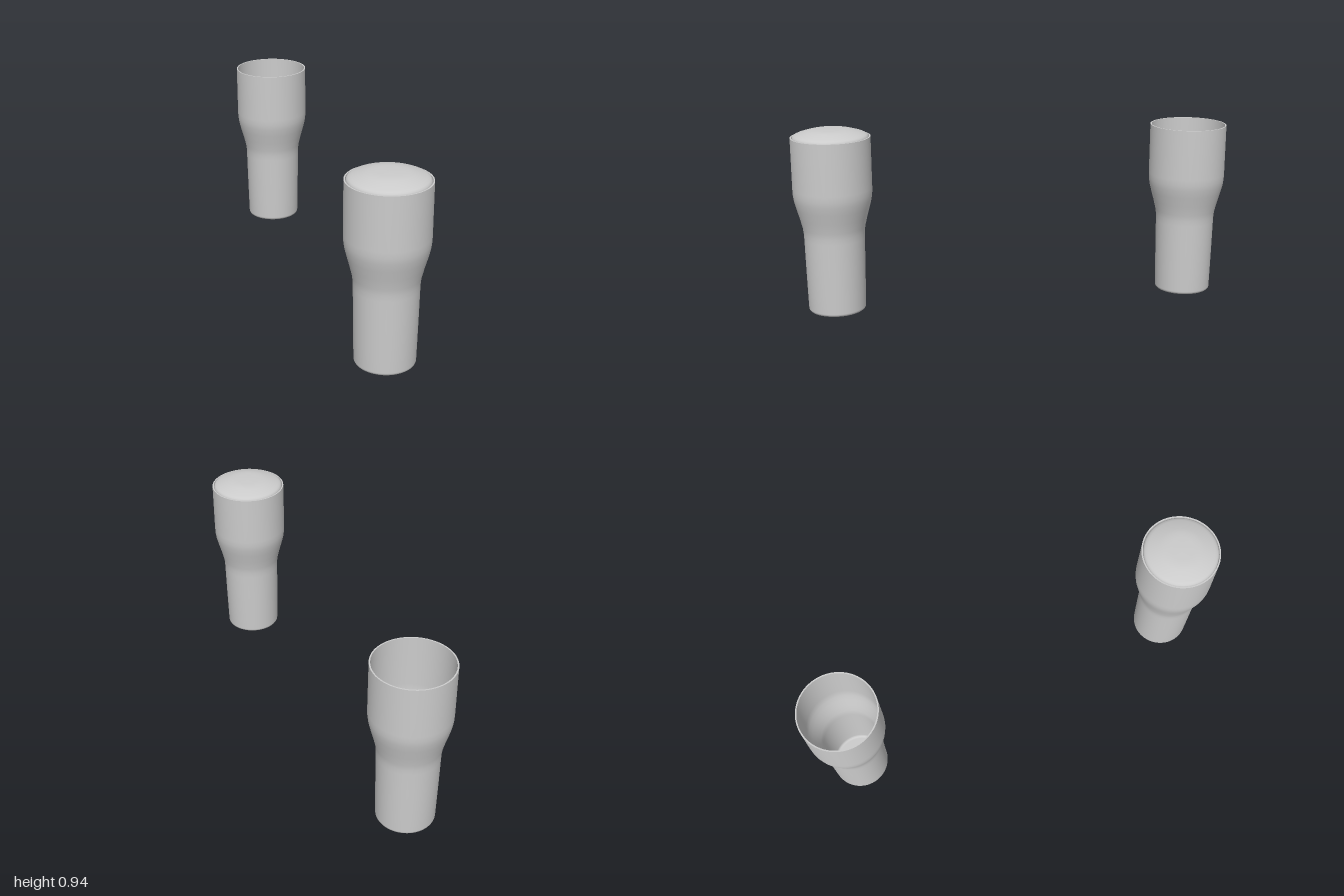
import * as THREE from 'three';

const SEGMENTS = 64;
const material = new THREE.MeshStandardMaterial({ color: 0xcccccc });

// Wall profile from the foot up to the rim: [radius, height]
const WALL = [
  [0.145, 0.015], [0.147, 0.1], [0.15, 0.25], [0.152, 0.38], [0.153, 0.41],
  [0.157, 0.44], [0.169, 0.49], [0.183, 0.54], [0.193, 0.58], [0.197, 0.61],
  [0.198, 0.64], [0.198, 0.9],
];

function lathe(name, points) {
  const profile = points.map(([r, y]) => new THREE.Vector2(r, y));
  const mesh = new THREE.Mesh(new THREE.LatheGeometry(profile, SEGMENTS), material);
  mesh.name = name;
  return mesh;
}

function createGlass(name) {
  const glass = new THREE.Group();
  glass.name = name;
  const thickness = 0.007;

  // Underside and outer wall, with a small rounded foot
  glass.add(lathe('outerWall', [
    [0, 0], [0.13, 0], [0.137, 0.001], [0.142, 0.005], [0.1445, 0.01], ...WALL,
  ]));

  // Flat rim
  glass.add(lathe('rim', [[0.198, 0.9], [0.198 - thickness, 0.9]]));

  // Inner wall running down to a rounded floor
  const inside = WALL.slice(1).reverse().map(([r, y]) => [r - thickness, y]);
  glass.add(lathe('innerWall', [
    ...inside, [0.139, 0.03], [0.137, 0.019], [0.132, 0.013], [0.124, 0.011], [0, 0.011],
  ]));
  return glass;
}

export function createModel() {
  const model = new THREE.Group();
  model.name = 'pairOfGlasses';

  const empty = createGlass('emptyGlass');
  empty.position.set(0.475, 0, -0.8);

  const full = createGlass('filledGlass');
  full.position.set(-0.475, 0.006, 0.8);

  // Domed top rising out of the filled glass
  full.add(lathe('domedTop', [
    [0.19, 0.88], [0.189, 0.896], [0.186, 0.904], [0.179, 0.91], [0.166, 0.916],
    [0.14, 0.924], [0.115, 0.931], [0.09, 0.936], [0.06, 0.938], [0, 0.939],
  ]));

  model.add(empty, full);
  return model;
}
